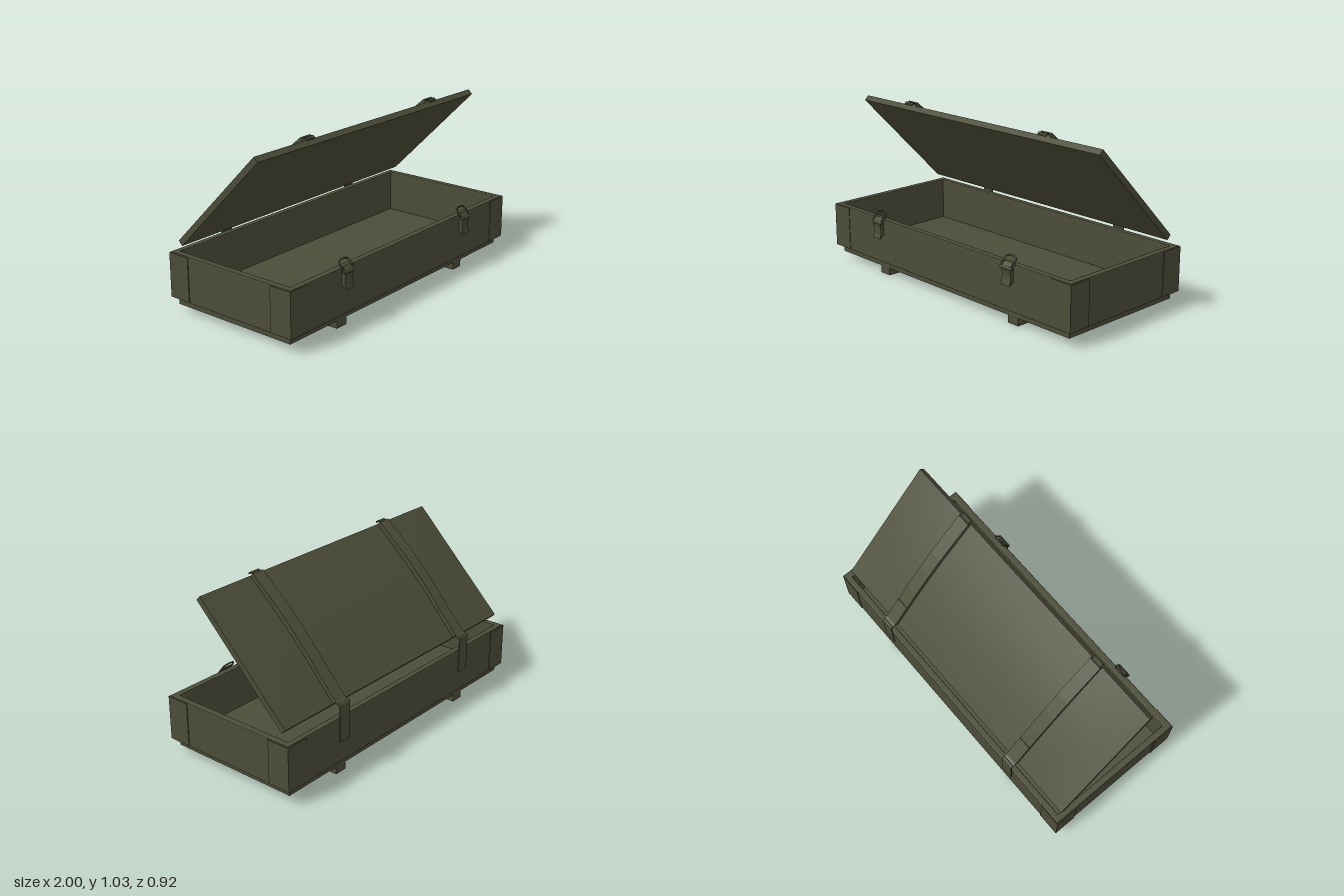
import * as THREE from 'three';

const olive = new THREE.MeshStandardMaterial({ color: 0x4c4c39 });
olive.name = 'olive drab';

function add(parent, name, geometry, x = 0, y = 0, z = 0) {
  const mesh = new THREE.Mesh(geometry, olive);
  mesh.name = name;
  mesh.position.set(x, y, z);
  parent.add(mesh);
  return mesh;
}

// Box given by its limits on each axis
function block(parent, name, x0, x1, y0, y1, z0, z1) {
  return add(parent, name, new THREE.BoxGeometry(x1 - x0, y1 - y0, z1 - z0),
    (x0 + x1) / 2, (y0 + y1) / 2, (z0 + z1) / 2);
}

// Side profile of [z, y] points, extruded across x
function profile(points, width) {
  const shape = new THREE.Shape(points.map(([z, y]) => new THREE.Vector2(z, y)));
  const g = new THREE.ExtrudeGeometry(shape, { depth: width, bevelEnabled: false });
  return g.translate(0, 0, -width / 2).rotateY(-Math.PI / 2);
}

function rectangle(target, x, y0, y1) {
  target.moveTo(-x, y0);
  target.lineTo(x, y0);
  target.lineTo(x, y1);
  target.lineTo(-x, y1);
  target.closePath();
  return target;
}

function rod(width, radius) {
  return new THREE.CylinderGeometry(radius, radius, width, 12).rotateZ(Math.PI / 2);
}

function createBody() {
  const body = new THREE.Group();
  body.name = 'body';

  // Wall frame with softly bevelled edges (shape y becomes -z)
  const frame = rectangle(new THREE.Shape(), 0.995, -0.43, 0.455);
  frame.holes.push(rectangle(new THREE.Path(), 0.955, -0.39, 0.418));
  const walls = new THREE.ExtrudeGeometry(frame, {
    depth: 0.263, bevelThickness: 0.006, bevelSize: 0.006, bevelOffset: -0.006, bevelSegments: 2,
  });
  add(body, 'walls', walls.rotateX(-Math.PI / 2), 0, 0.091, 0);
  block(body, 'innerFloor', -0.96, 0.96, 0.087, 0.1, -0.42, 0.395);
  block(body, 'basePanel', -0.97, 0.965, 0.045, 0.088, -0.43, 0.4);

  // Corner brackets: one plate on the end, one on the long side
  for (const side of [-1, 1]) {
    for (const [edge, dir] of [[0.433, 1], [-0.459, -1]]) {
      const bracket = new THREE.Group();
      bracket.name = 'cornerBracket';
      add(bracket, 'endPlate', new THREE.BoxGeometry(0.006, 0.264, 0.142),
        side * 0.997, 0.223, edge - dir * 0.071);
      add(bracket, 'sidePlate', new THREE.BoxGeometry(0.14, 0.264, 0.006),
        side * 0.93, 0.223, edge - dir * 0.003);
      body.add(bracket);
    }
  }
  return body;
}

function createLatch() {
  const latch = new THREE.Group();
  latch.name = 'latch';
  add(latch, 'lever', profile([[0.428, 0.345], [0.448, 0.345], [0.458, 0.33], [0.452, 0.3],
    [0.453, 0.27], [0.461, 0.24], [0.457, 0.238], [0.446, 0.25], [0.428, 0.26]], 0.066));
  add(latch, 'pivot', rod(0.09, 0.008), 0, 0.338, 0.451);
  // Tilted wire loop above the lever
  const outline = [[-0.042, 0.004], [-0.044, 0.035], [-0.036, 0.066], [-0.02, 0.074],
    [0.02, 0.074], [0.036, 0.066], [0.044, 0.035], [0.042, 0.004]];
  const path = new THREE.CurvePath();
  const points = outline.map(([x, t]) => new THREE.Vector3(x, t * 0.8, -t * 0.6));
  points.forEach((p, i) => path.add(new THREE.LineCurve3(p, points[(i + 1) % points.length])));
  add(latch, 'wireLoop', new THREE.TubeGeometry(path, 64, 0.005, 6, true), 0, 0.338, 0.453);
  const tongue = add(latch, 'tongue', new THREE.BoxGeometry(0.066, 0.034, 0.006), 0, 0.354, 0.442);
  tongue.rotation.x = -0.64;
  return latch;
}

function createLid() {
  const lid = new THREE.Group();
  lid.name = 'lid';
  const length = 0.827;

  // Panel with a slightly domed outer face
  const panel = new THREE.BoxGeometry(1.935, 0.036, length, 24, 1, 16);
  panel.translate(0, 0.018, length / 2);
  const p = panel.attributes.position;
  for (let i = 0; i < p.count; i++) {
    if (p.getY(i) < 0.03) continue;
    const across = 1 - Math.pow(Math.abs(p.getX(i)) / 0.9675, 4);
    const along = Math.sin(Math.PI * p.getZ(i) / length);
    p.setY(i, 0.036 + 0.02 * across * along);
  }
  panel.computeVertexNormals();
  add(lid, 'lidPanel', panel, -0.0025, 0, 0);

  // Battens, hinge leaves and catches
  for (const x of [-0.555, 0.55]) {
    add(lid, 'batten', profile([[0, 0.03], [0, 0.06], [0.148, 0.068], [0.269, 0.078], [0.41, 0.084],
      [0.544, 0.084], [0.69, 0.074], [length, 0.063], [length, 0.03]], 0.08), x);
    add(lid, 'hingeLeaf', profile([[-0.024, 0.072], [-0.024, 0.067], [-0.004, 0.056], [0.15, 0.064],
      [0.15, 0.072], [0, 0.064]], 0.08), x);
    add(lid, 'catchHook', profile([[0.825, 0.052], [0.836, 0.052], [0.846, 0.044], [0.848, 0.032],
      [0.843, 0.025], [0.84, 0.028], [0.844, 0.034], [0.841, 0.042], [0.834, 0.047], [0.825, 0.047]], 0.066), x);
  }

  // Open at 45 degrees
  lid.position.set(0, 0.4, -0.385);
  lid.rotation.x = -Math.PI / 4;
  return lid;
}

export function createModel() {
  const model = new THREE.Group();
  model.name = 'storageCrate';
  model.add(createBody(), createLid());

  // Skids, latches and hinges share the same two positions
  for (const x of [-0.555, 0.55]) {
    block(model, 'skid', x - 0.04, x + 0.04, 0, 0.046, -0.43, 0.4);
    const latch = createLatch();
    latch.position.x = x;
    model.add(latch);
    block(model, 'hingePlate', x - 0.04, x + 0.04, 0.21, 0.433, -0.461, -0.455);
    add(model, 'hingePin', rod(0.08, 0.009), x, 0.433, -0.452);
  }
  return model;
}
